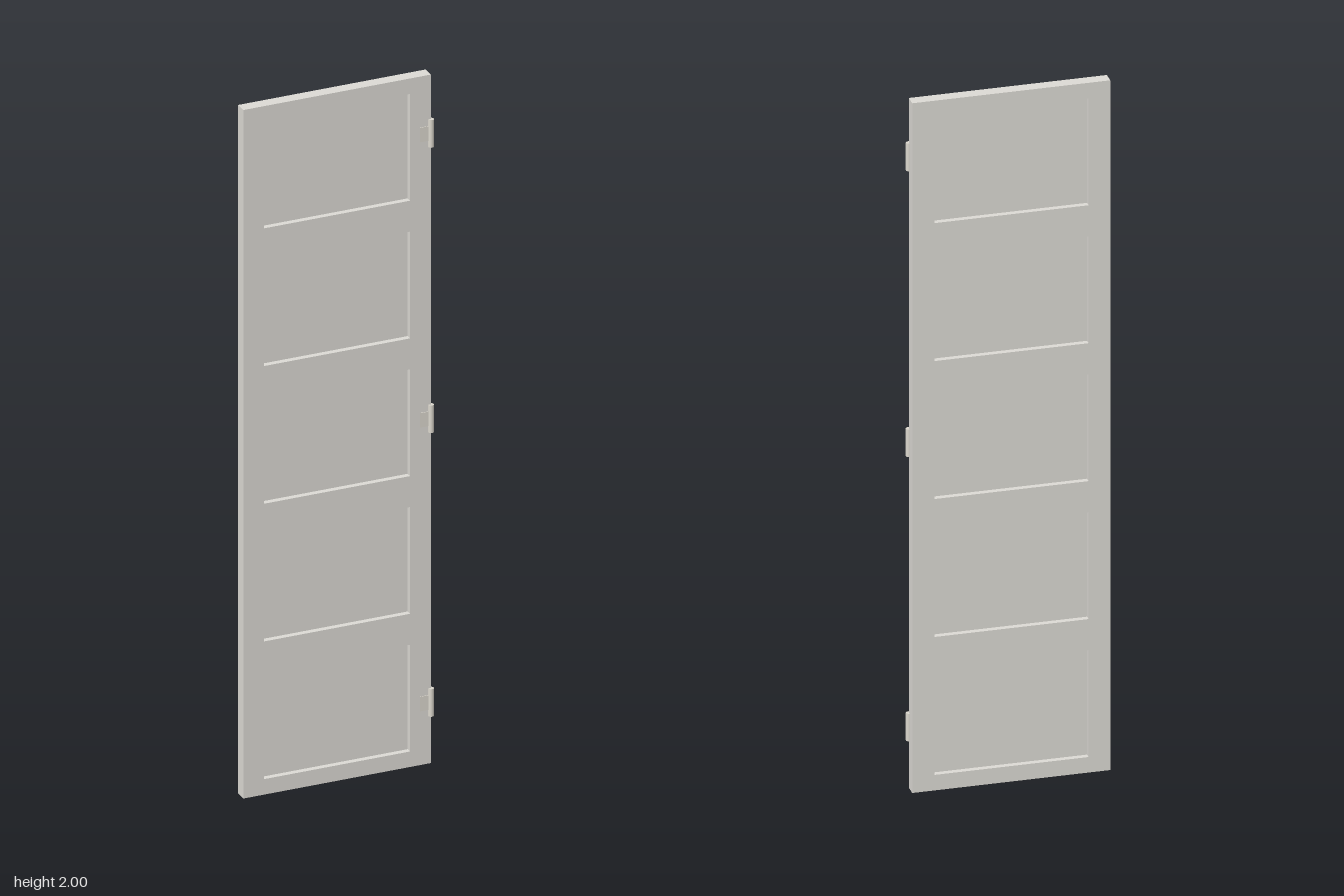
import * as THREE from 'three';

export function createModel() {
  const model = new THREE.Group();
  model.name = 'panelDoor';

  const paint = new THREE.MeshStandardMaterial({ color: 0xdddbd5 });
  paint.name = 'door off-white';
  const metal = new THREE.MeshStandardMaterial({ color: 0xdcd8ce });
  metal.name = 'hinge metal';

  const add = (parent, name, geometry, material, x, y, z) => {
    const mesh = new THREE.Mesh(geometry, material);
    mesh.name = name;
    mesh.position.set(x, y, z);
    parent.add(mesh);
  };

  const left = -0.274, right = 0.266, back = -0.0215, front = 0.013;
  const panelLeft = -0.215, panelRight = 0.206;
  const panelWidth = panelRight - panelLeft, panelHeight = 0.31;
  const panelCentres = [0.2, 0.6, 1.0, 1.4, 1.8];

  const rectangle = (path, x0, y0, x1, y1) => {
    path.moveTo(x0, y0);
    path.lineTo(x1, y0);
    path.lineTo(x1, y1);
    path.lineTo(x0, y1);
    path.closePath();
    return path;
  };

  // Stiles and rails: one slab with five openings
  const slab = rectangle(new THREE.Shape(), left, 0, right, 2);
  for (const y of panelCentres) {
    slab.holes.push(rectangle(new THREE.Path(),
      panelLeft, y - panelHeight / 2, panelRight, y + panelHeight / 2));
  }
  const frame = new THREE.ExtrudeGeometry(slab, { depth: front - back, bevelEnabled: false });
  add(model, 'frame', frame, paint, 0, 0, back);

  // Thin panels recessed deeply on both sides
  const panel = new THREE.BoxGeometry(panelWidth, panelHeight, 0.003);
  panelCentres.forEach((y, i) => {
    add(model, `panel${i + 1}`, panel, paint,
      (panelLeft + panelRight) / 2, y, (front + back) / 2);
  });

  // Hinges on the front edge: a round knuckle and a thin leaf
  const knuckle = new THREE.CylinderGeometry(0.008, 0.008, 0.08, 20);
  const leaf = new THREE.BoxGeometry(0.032, 0.042, 0.002);
  [0.178, 1.002, 1.831].forEach((y, i) => {
    const hinge = new THREE.Group();
    hinge.name = `hinge${i + 1}`;
    hinge.position.set(right, y, front);
    add(hinge, 'knuckle', knuckle, metal, 0, 0, 0);
    add(hinge, 'leaf', leaf, metal, -0.016, 0, 0.001);
    model.add(hinge);
  });

  return model;
}
